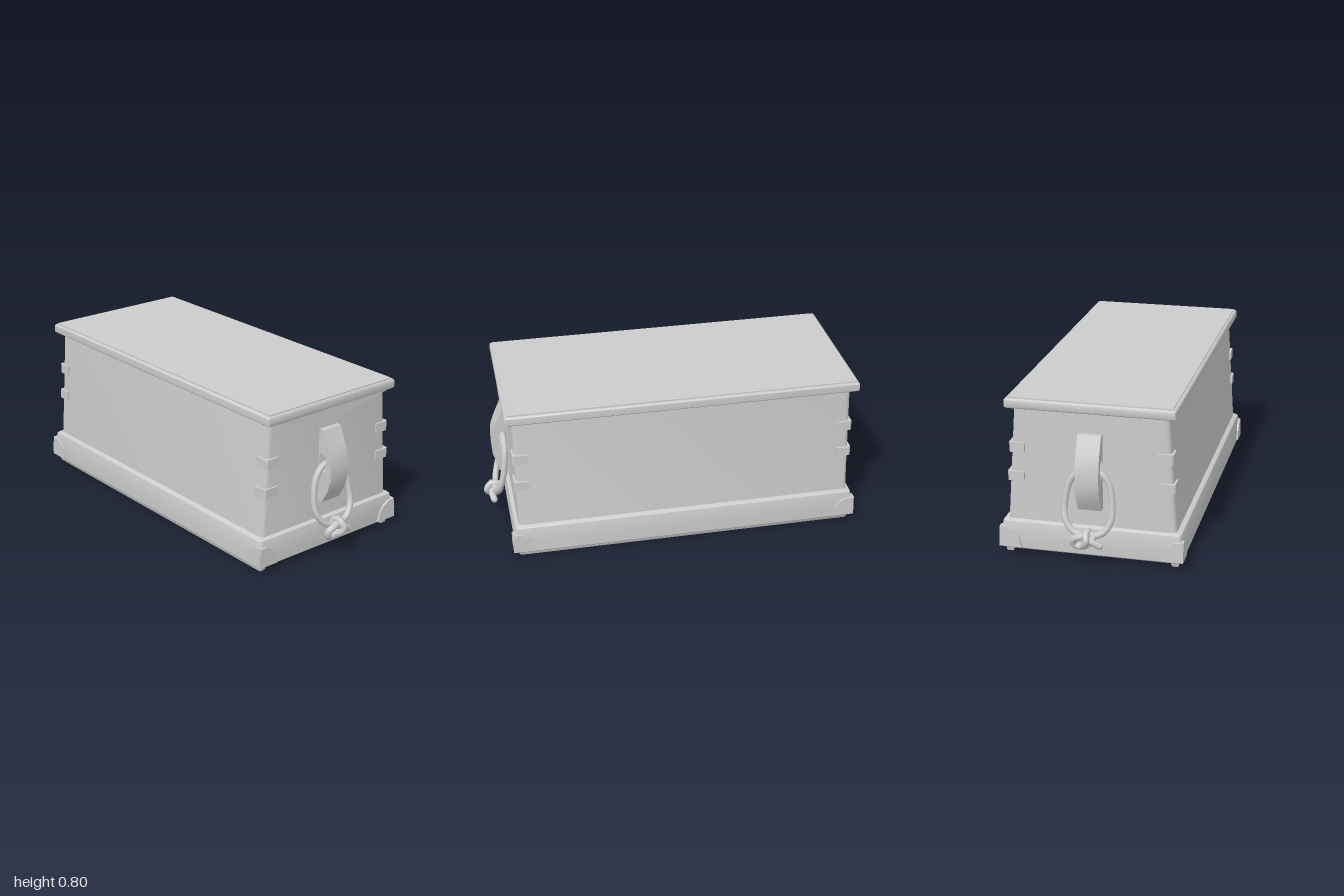
import * as THREE from 'three';
import { toCreasedNormals } from 'three/addons/utils/BufferGeometryUtils.js';

const grey = new THREE.MeshStandardMaterial({ color: 0xcccccc });
grey.name = 'plain grey';

function add(parent, name, geometry) {
  const mesh = new THREE.Mesh(geometry, grey);
  mesh.name = name;
  parent.add(mesh);
  return mesh;
}

// Stacks rounded rectangles [y, half width, half length, corner radius] into a closed solid
function loft(sections, steps = 3) {
  const pos = [];
  const idx = [];
  const n = 4 * (steps + 1);
  for (const [y, hx, hz, r] of sections) {
    for (let c = 0; c < 4; c++) {
      const sx = c === 0 || c === 3 ? 1 : -1;
      const sz = c < 2 ? 1 : -1;
      for (let s = 0; s <= steps; s++) {
        const a = (c + s / steps) * Math.PI / 2;
        pos.push(sx * (hx - r) + r * Math.cos(a), y, sz * (hz - r) + r * Math.sin(a));
      }
    }
  }
  const last = (sections.length - 1) * n;
  const bottom = pos.length / 3;
  pos.push(0, sections[0][0], 0, 0, sections[sections.length - 1][0], 0);
  for (let i = 0; i < n; i++) {
    const j = (i + 1) % n;
    for (let k = 0; k < last; k += n) idx.push(k + i, k + n + i, k + n + j, k + i, k + n + j, k + j);
    idx.push(bottom, i, j, bottom + 1, last + j, last + i);
  }
  const g = new THREE.BufferGeometry();
  g.setAttribute('position', new THREE.Float32BufferAttribute(pos, 3));
  g.setIndex(idx);
  return toCreasedNormals(g, 0.7);
}

function extrude(points, depth) {
  const shape = new THREE.Shape(points.map(p => new THREE.Vector2(...p)));
  return new THREE.ExtrudeGeometry(shape, { depth, bevelEnabled: false });
}

function rope(points, radius, closed = false) {
  const curve = new THREE.CatmullRomCurve3(points.map(p => new THREE.Vector3(...p)), closed);
  return new THREE.TubeGeometry(curve, points.length * 5, radius, 8, closed);
}

// Handle bracket, rope loop and knot at the +z end
function createHandle() {
  const handle = new THREE.Group();
  handle.name = 'handle';

  const outline = [[0.85, 0.64], [0.882, 0.64], [0.915, 0.565], [0.935, 0.51], [0.941, 0.45],
    [0.94, 0.39], [0.922, 0.33], [0.885, 0.265], [0.85, 0.265]];
  const shape = new THREE.Shape(outline.map(p => new THREE.Vector2(...p)));
  const slot = [[0.862, 0.43], [0.9, 0.43], [0.907, 0.47], [0.9, 0.51], [0.862, 0.52]];
  shape.holes.push(new THREE.Path(slot.map(p => new THREE.Vector2(...p))));
  const bracket = new THREE.ExtrudeGeometry(shape, { depth: 0.114, bevelEnabled: false });
  bracket.rotateY(-Math.PI / 2).translate(0.057, 0, 0);
  add(handle, 'handleBracket', toCreasedNormals(bracket, 0.6));

  add(handle, 'ropeLoop', rope([[0, 0.468, 0.88], [0.06, 0.45, 0.88], [0.095, 0.4, 0.882],
    [0.113, 0.29, 0.897], [0.106, 0.22, 0.915], [0.07, 0.17, 0.93], [0, 0.155, 0.935],
    [-0.07, 0.17, 0.93], [-0.111, 0.22, 0.915], [-0.12, 0.28, 0.897], [-0.098, 0.4, 0.882],
    [-0.06, 0.45, 0.88]], 0.016, true));

  add(handle, 'knotWrap', rope([[0, 0.172, 0.965], [0.005, 0.145, 0.982], [-0.01, 0.115, 0.966],
    [-0.015, 0.108, 0.935], [-0.01, 0.13, 0.912], [0, 0.168, 0.915], [0.002, 0.178, 0.945]], 0.017, true));
  add(handle, 'knotLoop', rope([[0.03, 0.16, 0.935], [-0.03, 0.155, 0.955], [-0.065, 0.135, 0.95],
    [-0.062, 0.105, 0.94], [-0.03, 0.1, 0.94], [0.02, 0.135, 0.95]], 0.018, true));
  add(handle, 'ropeTail', rope([[-0.02, 0.155, 0.95], [0.025, 0.135, 0.958], [0.065, 0.112, 0.95]], 0.017));
  // Cut end of the rope
  const end = add(handle, 'ropeEnd', new THREE.SphereGeometry(0.017, 8, 6));
  end.position.set(0.063, 0.113, 0.95);
  end.scale.setScalar(0.99);
  return handle;
}

// Straps and base guard at the +x +z corner
function createCornerFittings() {
  const corner = new THREE.Group();
  corner.name = 'cornerFittings';
  const strapRows = [[0.545, 0.322, 0.388, 0.05], [0.398, 0.326, 0.398, 0.048]];
  for (const [y, inner, wall, height] of strapRows) {
    const x = wall + 0.01;
    // L-shaped plan wrapped around the body edge
    const strap = extrude([[inner, -0.866], [x - 0.008, -0.866], [x, -0.858], [x, -0.79],
      [wall - 0.01, -0.79], [wall - 0.01, -0.846], [inner, -0.846]], height);
    strap.rotateX(-Math.PI / 2).translate(0, y - height / 2, 0);
    add(corner, 'cornerStrap', strap);
  }
  // Guard plates, with a sloping curved inner edge
  const guard = width => extrude([[0, 0.036], [0, 0.09], [-0.008, 0.137], [-0.04, 0.137],
    [-0.075, 0.118], [-0.098, 0.09], [-width, 0.036]], 0.016);
  add(corner, 'frontGuard', guard(0.113).translate(0.453, 0, 0.875));
  add(corner, 'sideGuard', guard(0.105).rotateY(-Math.PI / 2).translate(0.453, 0, 0.889));
  return corner;
}

export function createModel() {
  const chest = new THREE.Group();
  chest.name = 'chest';

  add(chest, 'body', loft([[0.15, 0.416, 0.857, 0.022], [0.45, 0.395, 0.856, 0.022], [0.755, 0.374, 0.855, 0.022]]));
  add(chest, 'base', loft([[0.02, 0.435, 0.865, 0.01], [0.03, 0.445, 0.878, 0.012], [0.09, 0.446, 0.882, 0.014],
    [0.145, 0.441, 0.878, 0.014], [0.165, 0.437, 0.874, 0.014], [0.174, 0.425, 0.862, 0.012]]));
  add(chest, 'lid', loft([[0.747, 0.404, 0.886, 0.008], [0.753, 0.41, 0.891, 0.008], [0.772, 0.411, 0.892, 0.008],
    [0.787, 0.41, 0.891, 0.008], [0.794, 0.403, 0.885, 0.006]]));
  add(chest, 'lidPanel', loft([[0.79, 0.395, 0.877, 0.003], [0.8, 0.395, 0.877, 0.003]], 1));

  for (const side of [-1, 1]) {
    // Floor runner
    const runner = add(chest, 'runner', loft([[0, 0.015, 0.858, 0.005], [0.008, 0.019, 0.862, 0.005], [0.025, 0.019, 0.862, 0.005]], 2));
    runner.position.x = side * 0.409;

    // Everything on one end, turned for the other
    const end = new THREE.Group();
    end.name = side > 0 ? 'frontEnd' : 'backEnd';
    end.rotation.y = side > 0 ? 0 : Math.PI;
    add(end, 'lidValance', extrude([[-0.38, 0.75], [-0.03, 0.687], [0, 0.685], [0.03, 0.687], [0.38, 0.75]], 0.036)
      .translate(0, 0, 0.85));
    end.add(createHandle());
    const left = createCornerFittings();
    const right = createCornerFittings();
    right.scale.x = -1;
    end.add(left, right);
    chest.add(end);
  }
  return chest;
}
